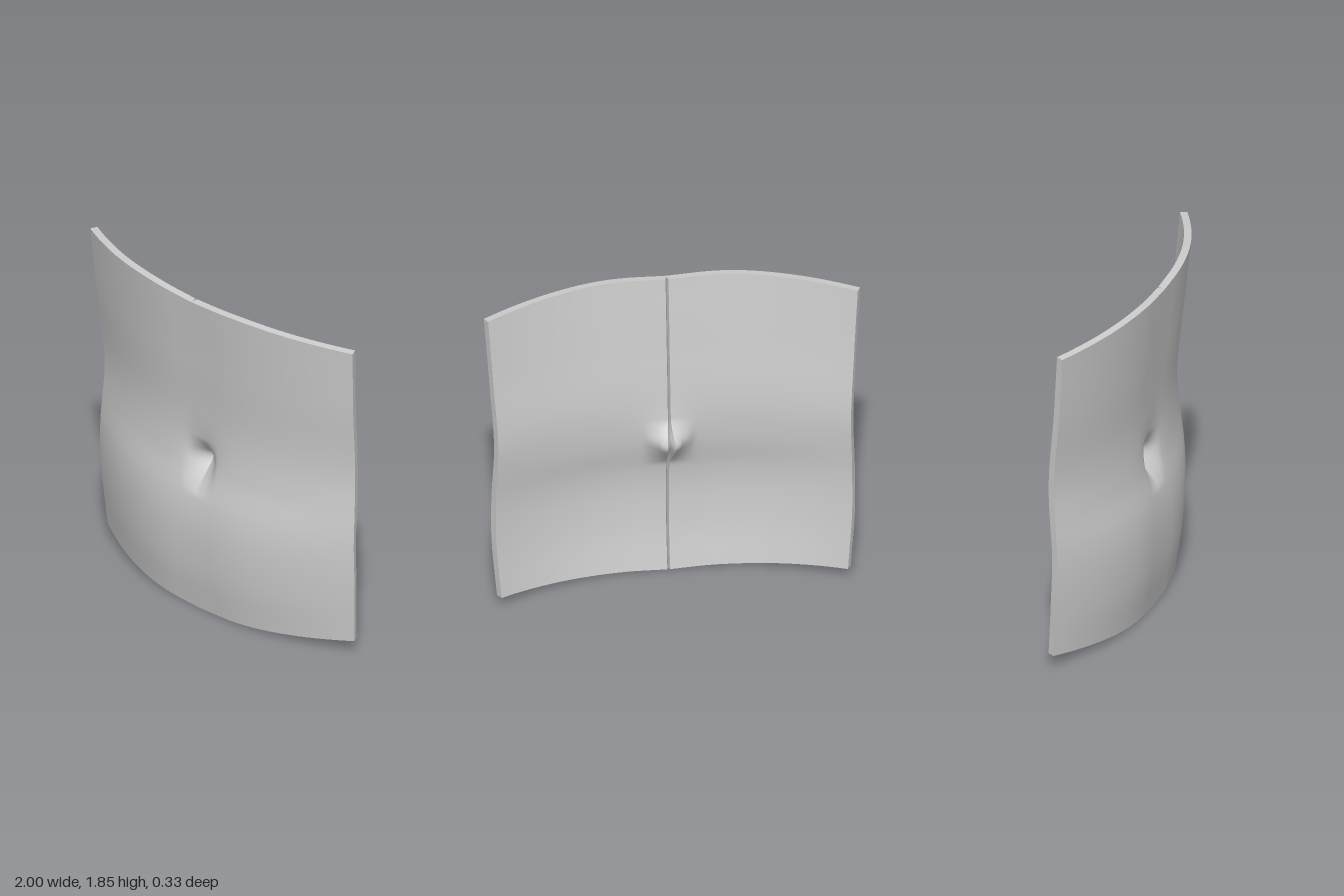
import * as THREE from 'three';
import { toCreasedNormals } from 'three/addons/utils/BufferGeometryUtils.js';

// smooth interpolation through a few [position, value] points
function profile(points) {
  const f = new THREE.CubicInterpolant(points.map(p => p[0]), points.map(p => p[1]), 1);
  return t => f.evaluate(t)[0];
}
const halfWidth = profile([[0, 0.94], [0.2, 0.966], [0.35, 0.966], [0.55, 0.955], [0.77, 0.975], [1, 1]]);
const centreZ = profile([[0, 0.1], [0.13, 0.138], [0.27, 0.15], [0.34, 0.14], [0.45, 0.103], [0.58, 0.09], [0.78, 0.122], [1, 0.165]]);
const edgeZ = profile([[0, -0.13], [0.15, -0.112], [0.32, -0.1], [0.56, -0.122], [0.8, -0.085], [1, -0.06]]);
const topY = profile([[0, 1.833], [0.35, 1.844], [0.7, 1.832], [1, 1.815]]);
const bottomY = profile([[0, 0], [0.4, 0.016], [0.7, 0.04], [1, 0.07]]);
const pitHeight = profile([[0.68, 0], [0.74, 0.32], [0.8, 0.68], [0.87, 1], [0.93, 0.35], [0.98, 0]]);

// torso sheet without the navel; u is 0 at the middle and 1 at the side
function sheet(u, v) {
  const bend = Math.pow(Math.max(0, (u - 0.16) / 0.84), 1.9);
  return new THREE.Vector3(u * halfWidth(v),
    THREE.MathUtils.lerp(bottomY(u), topY(u), v),
    THREE.MathUtils.lerp(centreZ(v), edgeZ(v), bend));
}

function sheetNormal(u, v) {
  const e = 0.01, u0 = Math.max(0, u - e), u1 = Math.min(1, u + e);
  const v0 = Math.max(0, v - e), v1 = Math.min(1, v + e);
  const du = sheet(u1, v).sub(sheet(u0, v)), dv = sheet(u, v1).sub(sheet(u, v0));
  return du.cross(dv).normalize();
}

// navel: a shallow hollow with a steep pit in it
function hollow(x, y) {
  return 0.025 * Math.exp(-((x / 0.12) ** 2) - ((y - 0.9) / 0.13) ** 2);
}
function pit(x, y, radius) {
  if (y < 0.68 || y > 0.98) return 0;
  return Math.max(0, 1 - x / radius) * pitHeight(y);
}

function frontPoint(u, v) {
  const p = sheet(u, v);
  p.z -= hollow(p.x, p.y) + 0.08 * pit(p.x, p.y, 0.11);
  return p;
}

function backPoint(u, v) {
  // the seam is a groove in the back along the middle
  if (u === 0) return frontPoint(0, v).add(new THREE.Vector3(0, 0, -0.012));
  const p = sheet(u, v).addScaledVector(sheetNormal(u, v), -0.04);
  p.x = Math.max(p.x, 0.006);
  const k = pit(p.x, p.y, 0.135);
  p.z -= hollow(p.x, p.y) + 0.1 * k;
  if (u < 0.05) p.x += 0.014 * k;
  return p;
}

// grid lines, closer together around the navel
const columns = [0, 0.008, 0.025, 0.045, 0.065, 0.085, 0.105, 0.125, 0.145, 0.17, 0.2];
for (let i = 1; i <= 16; i++) columns.push(0.2 + 0.05 * i);
const rows = [];
for (let i = 0; i < 14; i++) rows.push(i * 0.025);
for (let i = 0; i < 20; i++) rows.push(0.35 + i * 0.01);
for (let i = 0; i <= 18; i++) rows.push(0.55 + i * 0.025);

function buildHalf(side) {
  const pos = [];
  const quad = (a, b, c, d) => {
    const list = side > 0 ? [a, b, c, a, c, d] : [a, c, b, a, d, c];
    for (const p of list) pos.push(p.x * side, p.y, p.z);
  };
  const front = rows.map(v => columns.map(u => frontPoint(u, v)));
  const back = rows.map(v => columns.map(u => backPoint(u, v)));
  const m = rows.length - 1, n = columns.length - 1;
  for (let j = 0; j < m; j++) {
    for (let i = 0; i < n; i++) {
      quad(front[j][i], front[j][i + 1], front[j + 1][i + 1], front[j + 1][i]);
      quad(back[j][i + 1], back[j][i], back[j + 1][i], back[j + 1][i + 1]);
    }
    // outer side rim
    quad(front[j][n], back[j][n], back[j + 1][n], front[j + 1][n]);
  }
  // top and bottom rims
  for (let i = 0; i < n; i++) {
    quad(front[m][i], front[m][i + 1], back[m][i + 1], back[m][i]);
    quad(front[0][i + 1], front[0][i], back[0][i], back[0][i + 1]);
  }
  const g = new THREE.BufferGeometry();
  g.setAttribute('position', new THREE.Float32BufferAttribute(pos, 3));
  return toCreasedNormals(g, 0.6);
}

export function createModel() {
  const group = new THREE.Group();
  group.name = 'torsoPanel';
  const skin = new THREE.MeshStandardMaterial({ color: 0xcccccc });
  skin.name = 'light grey';
  for (const side of [1, -1]) {
    const half = new THREE.Mesh(buildHalf(side), skin);
    half.name = side > 0 ? 'leftHalf' : 'rightHalf';
    group.add(half);
  }
  return group;
}
